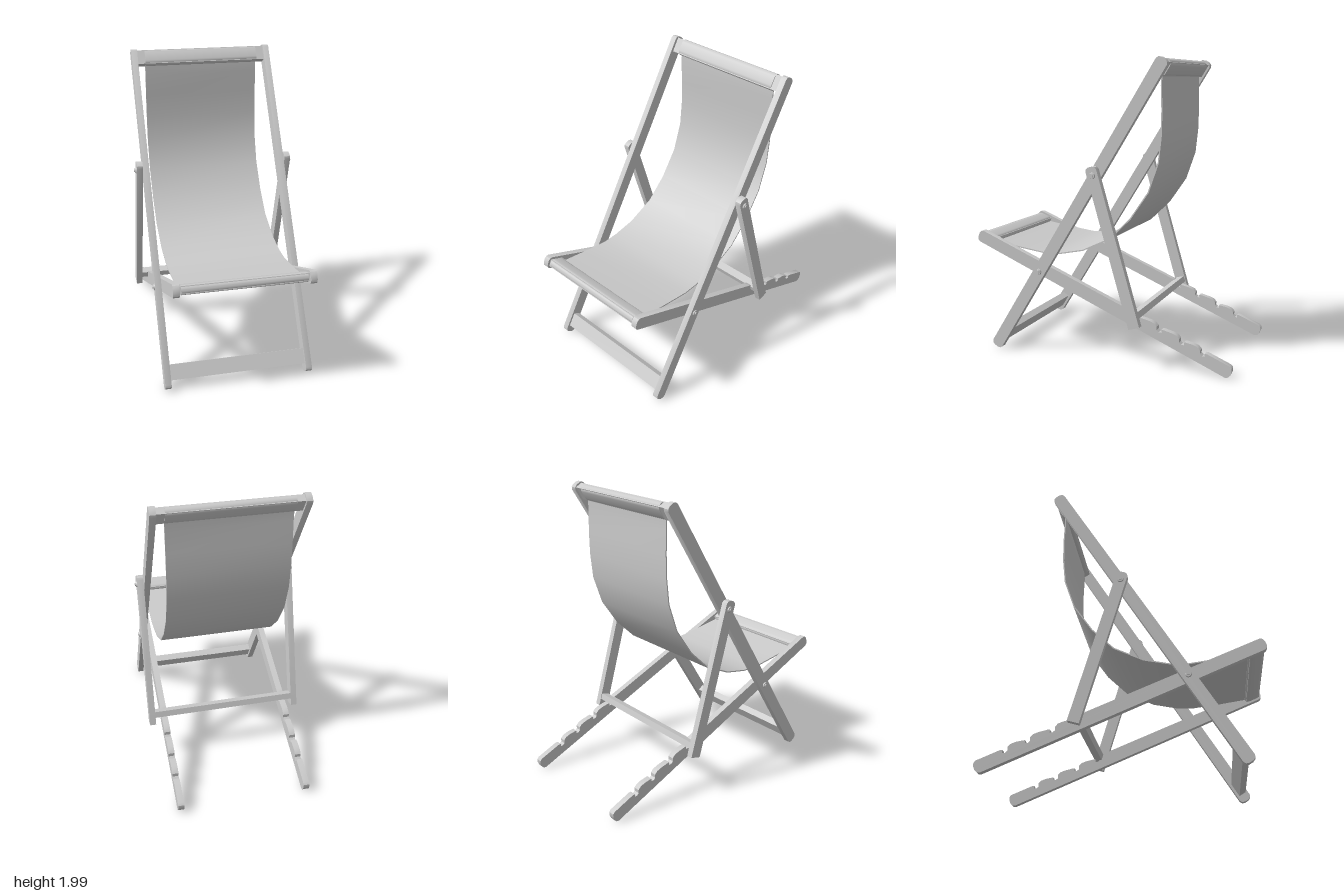
import * as THREE from 'three';
import { toCreasedNormals } from 'three/addons/utils/BufferGeometryUtils.js';

const material = new THREE.MeshStandardMaterial({ color: 0xcccccc, side: THREE.DoubleSide });

// Extrudes a side profile of [z, y] points across the width from x0 to x1
function sideExtrude(name, points, x0, x1) {
  const shape = new THREE.Shape(points.map(([z, y]) => new THREE.Vector2(z, y)));
  const geo = new THREE.ExtrudeGeometry(shape, { depth: x1 - x0, bevelEnabled: false });
  geo.rotateY(-Math.PI / 2);
  geo.translate(x1, 0, 0);
  const mesh = new THREE.Mesh(toCreasedNormals(geo, 0.65), material);
  mesh.name = name;
  return mesh;
}

// Maps [along, up] points onto the line from a to b in the side plane
function onLine(a, b, points) {
  const len = Math.hypot(b[0] - a[0], b[1] - a[1]);
  const dz = (b[0] - a[0]) / len, dy = (b[1] - a[1]) / len;
  return points.map(([s, h]) => [a[0] + dz * s + dy * h, a[1] + dy * s - dz * h]);
}

// Rounded end of a beam, listed from bottom edge to top edge
const roundEnd = (w) => [[0.024, -w / 2], [0.008, -w * 0.4], [0, -w * 0.18],
  [0, w * 0.18], [0.008, w * 0.4], [0.024, w / 2]];

// Beam with a rounded start, an optional shaped upper edge and a rounded or square finish
function beam(name, a, b, w, x0, x1, topEdge = [], squareFinish = false) {
  const len = Math.hypot(b[0] - a[0], b[1] - a[1]);
  const finish = squareFinish
    ? [[len, w / 2], [len, -w / 2]]
    : roundEnd(w).reverse().map(([s, h]) => [len - s, h]);
  return sideExtrude(name, onLine(a, b, [...roundEnd(w), ...topEdge, ...finish]), x0, x1);
}

// Cross bar centred at c, its long side l lying along direction d, with corner radius r
function crossBar(name, c, d, l, w, halfWidth, r = 0) {
  const pts = [];
  const steps = r ? 5 : 0;
  [[1, 1], [-1, 1], [-1, -1], [1, -1]].forEach(([sx, sy], q) => {
    for (let i = 0; i <= steps; i++) {
      const t = (q + (steps ? i / steps : 0)) * Math.PI / 2;
      pts.push([sx * (l / 2 - r) + r * Math.cos(t), sy * (w / 2 - r) + r * Math.sin(t)]);
    }
  });
  return sideExtrude(name, onLine(c, [c[0] + d[0], c[1] + d[1]], pts), -halfWidth, halfWidth);
}

// Pivot bolt: flat washer with a smaller raised head
function bolt(name, z, y, x, side) {
  const group = new THREE.Group();
  group.name = name;
  [[0.021, 0.008, 0.004], [0.011, 0.012, 0.008]].forEach(([r, h, off]) => {
    const geo = new THREE.CylinderGeometry(r * 0.85, r, h, 20).rotateZ(-Math.PI / 2 * side);
    const mesh = new THREE.Mesh(geo, material);
    mesh.position.set(side * (x + off), y, z);
    group.add(mesh);
  });
  return group;
}

export function createModel() {
  const model = new THREE.Group();
  model.name = 'deckChair';

  const backFoot = [0.767, 0.015], backTop = [-0.455, 1.985];
  const seatFront = [0.908, 0.79], seatRear = [-0.902, 0.04];
  const propTop = [0.016, 1.31], propFoot = [-0.285, 0.282];
  const backDir = [-1.222, 1.97], seatDir = [-1.81, -0.75], propDir = [-0.285, -0.973];

  // Row of hooked notches along the rear upper edge of each seat rail
  const notches = [];
  for (const s of [1.275, 1.437, 1.602, 1.752]) {
    notches.push([s - 0.085, 0.05], [s - 0.05, 0.051], [s - 0.026, 0.04], [s - 0.018, 0.018],
      [s, 0.012], [s + 0.017, 0.018], [s + 0.009, 0.036], [s + 0.024, 0.041]);
  }

  // Paired side members and bolts
  for (const side of [1, -1]) {
    const prefix = side > 0 ? 'left' : 'right';
    const span = (a, b) => (side > 0 ? [a, b] : [-b, -a]);
    model.add(
      beam(prefix + 'BackRail', backFoot, backTop, 0.082, ...span(0.453, 0.494)),
      beam(prefix + 'SeatRail', seatFront, seatRear, 0.083, ...span(0.41, 0.452), notches),
      beam(prefix + 'PropStrut', propTop, propFoot, 0.077, ...span(0.496, 0.538), [], true),
      bolt(prefix + 'PropBolt', 0, 1.255, 0.538, side),
      bolt(prefix + 'SeatBolt', 0.42, 0.58, 0.494, side),
    );
  }

  // Cross bars
  const topBar = [-0.425, 1.932], frontBar = [0.845, 0.765];
  model.add(
    crossBar('topBar', topBar, backDir, 0.1, 0.05, 0.455),
    crossBar('footBar', [0.714, 0.102], backDir, 0.1, 0.05, 0.455),
    crossBar('frontSeatBar', frontBar, seatDir, 0.1, 0.05, 0.412),
    crossBar('propBar', [-0.27, 0.351], propDir, 0.042, 0.058, 0.498),
  );

  // Fabric sleeves wrapped round the top and front bars
  model.add(
    crossBar('topSleeve', topBar, backDir, 0.112, 0.062, 0.4, 0.029),
    crossBar('frontSleeve', frontBar, seatDir, 0.112, 0.062, 0.4, 0.029),
  );

  // Hanging fabric, a thin strip following the sag
  const sag = [[-0.414, 1.885], [-0.411, 1.82], [-0.416, 1.67], [-0.413, 1.51], [-0.395, 1.34],
    [-0.328, 1.146], [-0.204, 0.966], [-0.058, 0.824], [0.135, 0.732], [0.30, 0.697],
    [0.41, 0.69], [0.62, 0.716], [0.81, 0.744]];
  const half = 0.004;
  const offset = (sign) => sag.map(([z, y], i) => {
    const p = sag[Math.max(i - 1, 0)], n = sag[Math.min(i + 1, sag.length - 1)];
    const len = Math.hypot(n[0] - p[0], n[1] - p[1]);
    return [z - sign * half * (n[1] - p[1]) / len, y + sign * half * (n[0] - p[0]) / len];
  });
  model.add(sideExtrude('fabricSling', [...offset(1), ...offset(-1).reverse()], -0.4, 0.4));

  return model;
}
